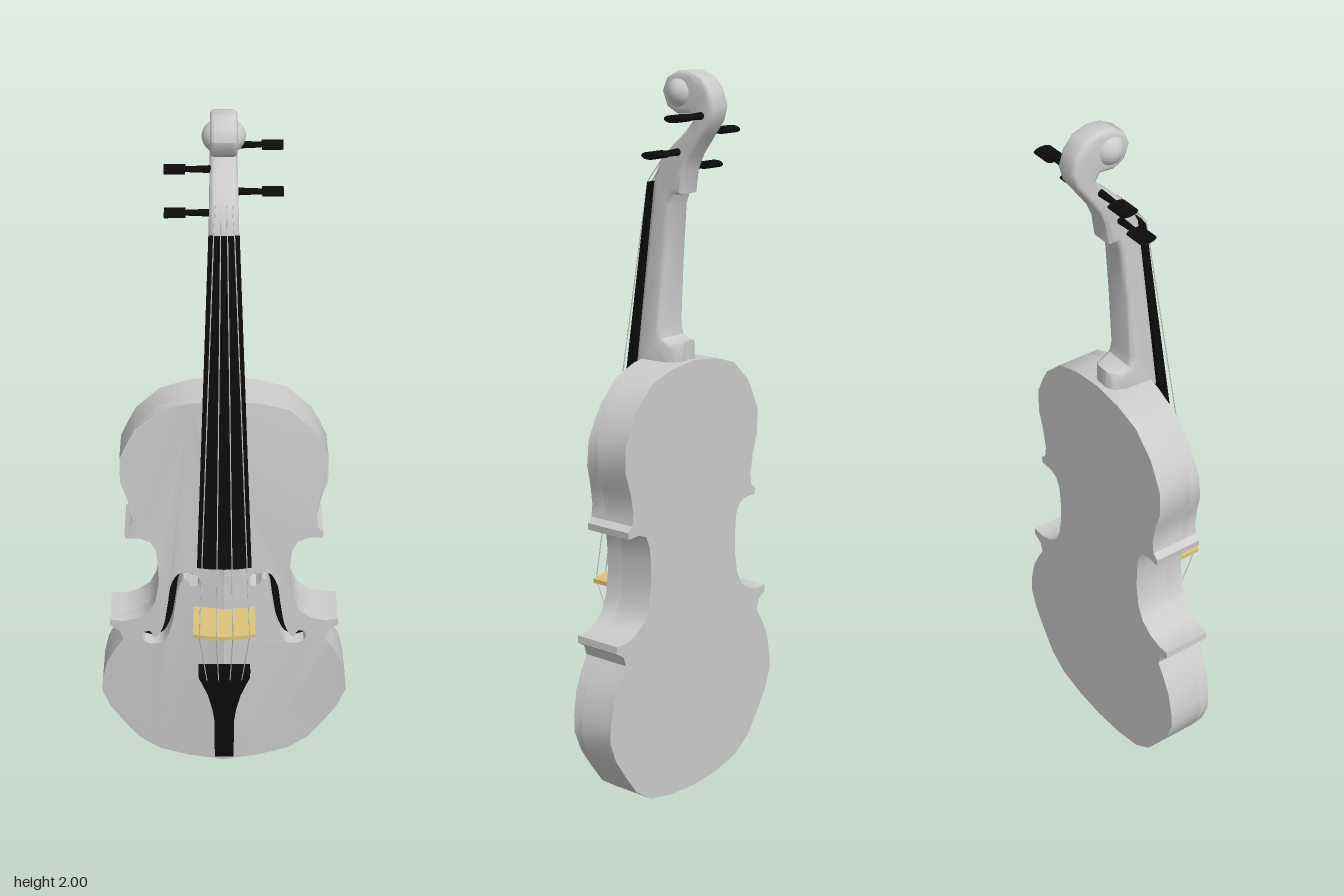
import * as THREE from 'three';
import { toCreasedNormals } from 'three/addons/utils/BufferGeometryUtils.js';

const V2 = (p) => new THREE.Vector2(p[0], p[1]);
const V3 = (x, y, z) => new THREE.Vector3(x, y, z);
const { lerp, clamp } = THREE.MathUtils;

export function createModel() {
  const model = new THREE.Group();
  const grey = new THREE.MeshStandardMaterial({ color: 0xcccccc });
  const black = new THREE.MeshStandardMaterial({ color: 0x0c0c0c });
  const gold = new THREE.MeshStandardMaterial({ color: 0xdcc478 });

  const add = (name, geometry, material, parent = model) => {
    const mesh = new THREE.Mesh(geometry, material);
    mesh.name = name;
    parent.add(mesh);
    return mesh;
  };
  // Move every vertex by a rule, then shade with kept edges
  const reshape = (geometry, rule, crease = 0.55) => {
    const pos = geometry.attributes.position;
    const v = new THREE.Vector3();
    for (let i = 0; i < pos.count; i++) {
      rule(v.fromBufferAttribute(pos, i));
      pos.setXYZ(i, v.x, v.y, v.z);
    }
    return toCreasedNormals(geometry, crease);
  };
  const extrude = (shape, depth, extra = {}) =>
    new THREE.ExtrudeGeometry(shape, { depth, bevelEnabled: false, curveSegments: 10, ...extra });

  // Half outline of the body, bottom to top
  const outline = [
    [0, 0.003], [0.1, 0.01], [0.19, 0.03], [0.25, 0.07], [0.295, 0.13], [0.335, 0.19], [0.358, 0.25],
    [0.354, 0.3], [0.34, 0.36], [0.315, 0.41], [0.29, 0.45], [0.3, 0.478], [0.328, 0.495],
    [0.327, 0.515], [0.29, 0.513], [0.25, 0.525], [0.215, 0.55], [0.195, 0.59], [0.185, 0.65],
    [0.185, 0.71], [0.19, 0.76], [0.205, 0.79], [0.235, 0.801], [0.275, 0.799], [0.277, 0.818],
    [0.26, 0.832], [0.255, 0.865], [0.265, 0.92], [0.285, 0.98], [0.285, 1.05], [0.262, 1.1],
    [0.24, 1.14], [0.175, 1.2], [0.095, 1.225], [0, 1.235],
  ];
  const seamZ = -0.01;
  const bellyZ = (x, y) =>
    0.035 + 0.03 * Math.min(1, 1.3 * Math.sin((Math.PI * y) / 1.24)) - 0.12 * Math.abs(x);

  // Back and ribs
  const full = [...outline, ...outline.slice(1, -1).reverse().map(([x, y]) => [-x, y])].map(V2);
  add('backAndRibs', reshape(extrude(new THREE.Shape(full), 1), (v) => {
    v.z = lerp(lerp(-0.114, -0.108, v.y / 1.235), seamZ, v.z);
  }), grey);

  // S-shaped sound hole: offset a centre line to both sides, wider at the ends
  const holeCurve = new THREE.CatmullRomCurve3([
    [0.082, 0.652], [0.09, 0.677], [0.118, 0.683], [0.138, 0.65], [0.15, 0.575], [0.164, 0.5],
    [0.187, 0.456], [0.214, 0.455], [0.222, 0.482],
  ].map(([x, y]) => V3(x, y, 0)));
  const holePoints = (s) => {
    const a = [], b = [], n = 40;
    for (let i = 0; i <= n; i++) {
      const t = i / n, end = Math.min(t, 1 - t);
      const w = end < 0.12 ? 0.009 + 0.009 * Math.sin((Math.PI * end) / 0.12) : 0.011;
      const p = holeCurve.getPointAt(t), d = holeCurve.getTangentAt(t);
      a.push(V2([s * (p.x - d.y * w), p.y + d.x * w]));
      b.push(V2([s * (p.x + d.y * w), p.y - d.x * w]));
    }
    return [...a, ...b.reverse()];
  };

  // Arched belly in two halves, each with a sound hole
  for (const [s, side] of [[1, 'left'], [-1, 'right']]) {
    const ridge = [];
    for (let i = 23; i > 0; i--) ridge.push([0, (1.235 * i) / 24]);
    const half = new THREE.Shape([...outline, ...ridge].map(([x, y]) => V2([s * x, y])));
    half.holes.push(new THREE.Path(holePoints(s)));
    add(side + 'Belly', reshape(extrude(half, 1), (v) => {
      v.z = v.z > 0.5 ? bellyZ(v.x, v.y) : seamZ;
    }), grey);
    const floor = add(side + 'SoundHole', new THREE.ShapeGeometry(new THREE.Shape(holePoints(s))), black);
    floor.position.z = seamZ + 0.004;
  }

  // Neck, heel, peg box and scroll: side profile as [z, y], tapered in width
  const profile = [
    [0.055, 1.2], [0.008, 1.68], [0.003, 1.72], [-0.02, 1.77], [-0.06, 1.81], [-0.1, 1.845],
    [-0.122, 1.872], [-0.11, 1.89], [-0.07, 1.888], [-0.038, 1.905], [-0.022, 1.945], [-0.037, 1.98],
    [-0.07, 1.997], [-0.11, 1.999], [-0.15, 1.985], [-0.178, 1.953], [-0.192, 1.91], [-0.182, 1.872],
    [-0.155, 1.835], [-0.115, 1.78], [-0.097, 1.74], [-0.088, 1.68], [-0.066, 1.677], [-0.055, 1.65],
    [-0.042, 1.5], [-0.03, 1.32], [-0.036, 1.292], [-0.06, 1.283], [-0.078, 1.285], [-0.092, 1.287],
    [-0.092, 1.2], [-0.078, 1.2], [-0.06, 1.2],
  ];
  const neck = extrude(new THREE.Shape(profile.map(V2)), 1.36, {
    bevelEnabled: true, bevelThickness: 0.32, bevelSize: 0.014, bevelOffset: -0.014, bevelSegments: 3,
  });
  neck.translate(0, 0, -0.68).rotateY(-Math.PI / 2);
  add('neckAndScroll', reshape(neck, (v) => {
    const t = clamp((v.y - 1.2) / 0.5, 0, 1);
    const u = clamp((v.y - 1.7) / 0.2, 0, 1);
    v.x *= lerp(lerp(0.056, 0.039, t), 0.035, u);
    // Rounded heel
    if (v.y < 1.3 && v.z < -0.03) v.x *= Math.sqrt(1 - ((v.z + 0.03) / 0.068) ** 2);
  }, 0.8), grey);

  // Domed scroll eyes, one body through both sides
  const eyes = add('scrollEyes', new THREE.SphereGeometry(1, 28, 18), grey);
  eyes.scale.set(0.056, 0.047, 0.047);
  eyes.position.set(0, 1.942, -0.077);

  // Fingerboard: arched section, wider and further forward at the lower end
  const section = new THREE.Shape([[-1, 0], [1, 0], [1, 0.75], [0.5, 0.95], [0, 1], [-0.5, 0.95], [-1, 0.75]].map(V2));
  const board = extrude(section, 1).rotateX(Math.PI / 2);
  add('fingerboard', reshape(board, (v) => {
    const t = v.y + 1, height = v.z;
    v.x *= lerp(0.075, 0.04, t);
    v.y = lerp(0.765, 1.705, t);
    v.z = lerp(0.103, 0.002, t) + height * lerp(0.036, 0.026, t);
  }), black);

  // Tailpiece with four string holes
  const tailHalf = [[0.028, 0.05], [0.028, 0.2], [0.034, 0.25], [0.047, 0.31], [0.063, 0.355], [0.073, 0.38], [0.074, 0.405]];
  const tail = new THREE.Shape([...tailHalf, ...[...tailHalf].reverse().map(([x, y]) => [-x, y])].map(V2));
  const stringX = [-1, -0.33, 0.33, 1];
  for (const k of stringX) {
    const x = k * 0.048;
    tail.holes.push(new THREE.Path([
      [x - 0.011, 0.37], [x - 0.006, 0.358], [x + 0.006, 0.358], [x + 0.011, 0.37], [x, 0.393],
    ].map(V2)));
  }
  add('tailpiece', reshape(extrude(tail, 0.038), (v) => {
    v.z += lerp(0.042, 0.093, (v.y - 0.05) / 0.355);
  }), black);

  // Bridge plate with a curved top
  const bridgeShape = new THREE.Shape();
  bridgeShape.moveTo(-0.087, 0.045);
  bridgeShape.lineTo(0.087, 0.045);
  bridgeShape.lineTo(0.087, 0.183);
  bridgeShape.quadraticCurveTo(0, 0.207, -0.087, 0.183);
  const bridge = add('bridge', extrude(bridgeShape, 0.012).rotateX(Math.PI / 2), gold);
  bridge.position.y = 0.578;

  // Strings: tailpiece, bridge, nut, peg box
  const strings = new THREE.Group();
  strings.name = 'strings';
  model.add(strings);
  for (const k of stringX) {
    const path = new THREE.CurvePath();
    const stops = [
      V3(k * 0.05, 0.37, 0.122), V3(k * 0.07, 0.572, 0.195 - 0.008 * k * k),
      V3(k * 0.027, 1.705, 0.031), V3(k * 0.022, 1.775, -0.022),
    ];
    for (let i = 0; i < 3; i++) path.add(new THREE.LineCurve3(stops[i], stops[i + 1]));
    add('string', new THREE.TubeGeometry(path, 48, 0.0015, 6), grey, strings);
  }

  // Tuning pegs: tapered shaft and flattened grip
  for (const [s, y, z] of [[1, 1.887, -0.155], [1, 1.79, -0.08], [-1, 1.838, -0.112], [-1, 1.742, -0.056]]) {
    const peg = new THREE.Group();
    peg.name = 'tuningPeg';
    const shaft = add('pegShaft', new THREE.CylinderGeometry(0.007, 0.011, 0.1, 12), black, peg);
    shaft.position.y = 0.06;
    const grip = add('pegGrip', new THREE.CylinderGeometry(0.026, 0.026, 0.055, 20), black, peg);
    grip.scale.x = 0.38;
    grip.position.y = 0.126;
    peg.rotation.z = (-s * Math.PI) / 2;
    peg.position.set(0, y, z);
    model.add(peg);
  }
  return model;
}
